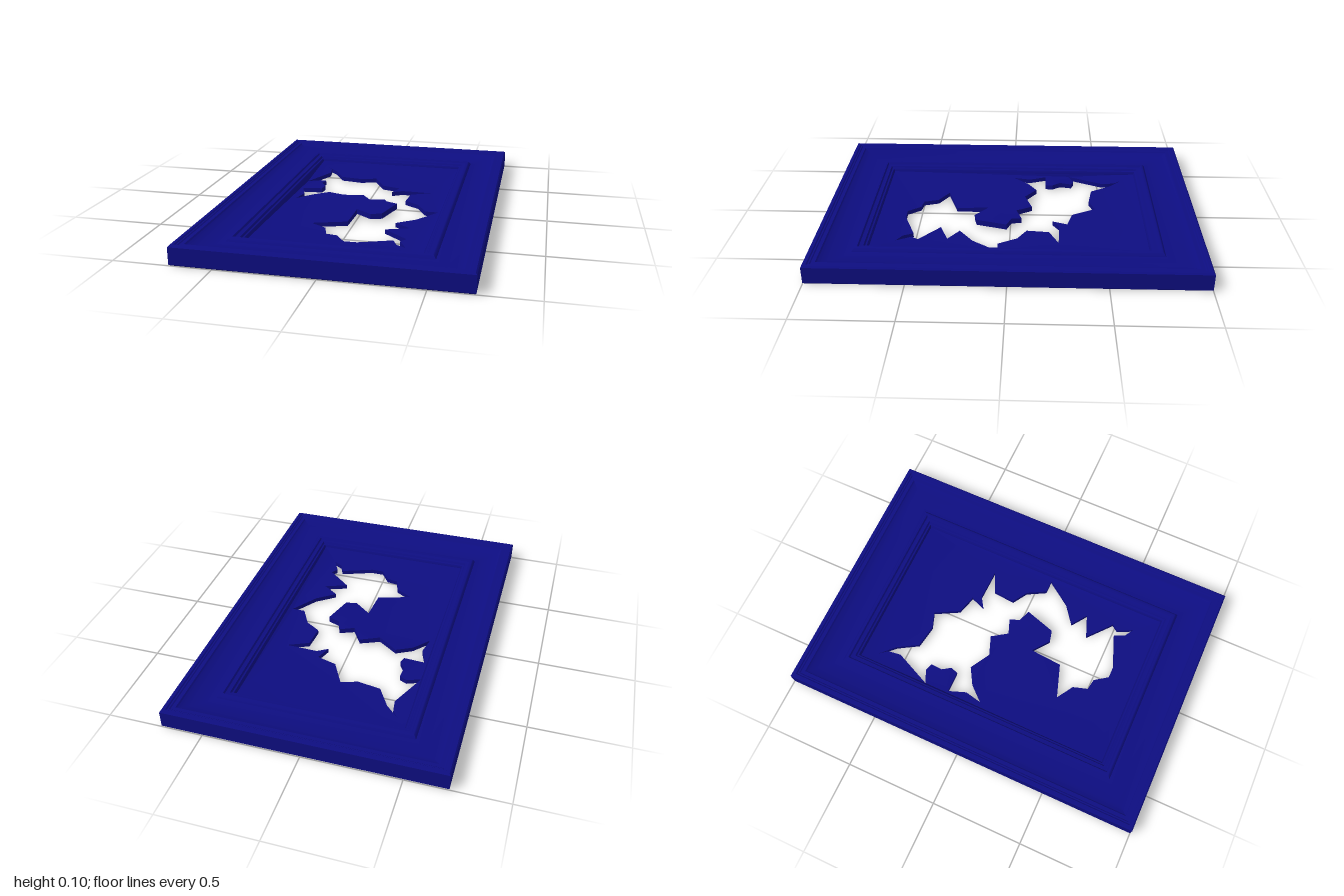
import * as THREE from 'three';
import { toCreasedNormals } from 'three/addons/utils/BufferGeometryUtils.js';

const HALF_W = 0.715, HALF_L = 1;

// Moulding cross-section: [distance in from the outer edge, height]
const PROFILE = [
  [0.006, 0], [0, 0.006], [0, 0.093], [0.007, 0.1], [0.022, 0.1], [0.027, 0.095],
  [0.034, 0.095], [0.039, 0.091], [0.058, 0.091], [0.064, 0.084], [0.1, 0.07],
  [0.14, 0.06], [0.18, 0.056], [0.205, 0.06], [0.214, 0.074], [0.22, 0.078],
  [0.23, 0.078], [0.236, 0.07], [0.246, 0.067], [0.256, 0.067], [0.262, 0.058],
  [0.27, 0.056], [0.278, 0.04], [0.278, 0],
];

// Torn opening: [x, z] round the ragged edge
const TEAR = [
  [-0.385, -0.645], [-0.31, -0.57], [-0.245, -0.46], [-0.12, -0.44], [-0.035, -0.47],
  [0.035, -0.34], [0.14, -0.31], [0.11, -0.23], [0.165, -0.265], [0.335, -0.26],
  [0.225, -0.21], [0.215, -0.09], [0.295, -0.04], [0.35, 0.06], [0.42, 0.06],
  [0.325, 0.195], [0.225, 0.27], [0.31, 0.33], [0.19, 0.375], [0.32, 0.485],
  [0.295, 0.52], [0.335, 0.6], [0.285, 0.57], [0.26, 0.515], [0.09, 0.58],
  [0.02, 0.58], [-0.03, 0.51], [-0.09, 0.5], [-0.115, 0.42], [-0.205, 0.365],
  [-0.025, 0.305], [-0.015, 0.13], [0.075, 0.2], [0.135, 0.185], [0.185, 0.02],
  [0.12, -0.005], [0.1, -0.06], [0.02, -0.03], [-0.035, -0.115], [-0.14, -0.075],
  [-0.245, -0.14], [-0.33, -0.09], [-0.405, -0.005], [-0.385, -0.1], [-0.42, -0.195],
  [-0.305, -0.195], [-0.295, -0.235], [-0.325, -0.28], [-0.32, -0.345], [-0.36, -0.36],
  [-0.43, -0.33], [-0.34, -0.53], [-0.35, -0.6],
];

// Sweep the profile round the four mitred corners
function mouldingGeometry() {
  const corners = [[1, 1], [1, -1], [-1, -1], [-1, 1]];
  const at = (c, [d, y]) => [c[0] * (HALF_W - d), y, c[1] * (HALF_L - d)];
  const pos = [];
  for (let s = 0; s < 4; s++) {
    const a = corners[s], b = corners[(s + 1) % 4];
    for (let i = 0; i < PROFILE.length; i++) {
      const p = PROFILE[i], q = PROFILE[(i + 1) % PROFILE.length];
      const ap = at(a, p), bp = at(b, p), aq = at(a, q), bq = at(b, q);
      pos.push(...ap, ...bp, ...bq, ...ap, ...bq, ...aq);
    }
  }
  const geo = new THREE.BufferGeometry();
  geo.setAttribute('position', new THREE.Float32BufferAttribute(pos, 3));
  return toCreasedNormals(geo, 0.6);
}

// Panel with a torn hole; it thins towards the tear and the loose flaps lift
function panelGeometry() {
  const w = HALF_W - 0.276, l = HALF_L - 0.276;
  const shape = new THREE.Shape([[-w, -l], [w, -l], [w, l], [-w, l]].map(p => new THREE.Vector2(...p)));
  shape.holes.push(new THREE.Path(TEAR.map(([x, z]) => new THREE.Vector2(x, -z))));
  const geo = new THREE.ExtrudeGeometry(shape, { depth: 1, bevelEnabled: false });
  geo.rotateX(-Math.PI / 2);
  const pos = geo.attributes.position;
  const bump = (x, z, cx, cz, r) => Math.max(0, 1 - Math.hypot(x - cx, z - cz) / r);
  for (let i = 0; i < pos.count; i++) {
    const x = pos.getX(i), z = pos.getZ(i);
    const border = Math.abs(z) > l - 0.01;
    const lift = 0.035 * bump(x, z, 0.12, 0.08, 0.2) + 0.02 * bump(x, z, -0.12, -0.05, 0.2)
      + 0.015 * bump(x, z, -0.3, -0.27, 0.12);
    const top = border ? 0.042 : 0.024 + lift;
    pos.setY(i, pos.getY(i) > 0.5 ? top : lift * 0.6);
  }
  return toCreasedNormals(geo, 0.7);
}

export function createModel() {
  const group = new THREE.Group();
  const material = new THREE.MeshStandardMaterial({ color: 0x0d0d80 });
  const add = (name, geometry) => {
    const mesh = new THREE.Mesh(geometry, material);
    mesh.name = name;
    group.add(mesh);
  };
  add('frameMoulding', mouldingGeometry());
  add('tornPanel', panelGeometry());
  return group;
}
